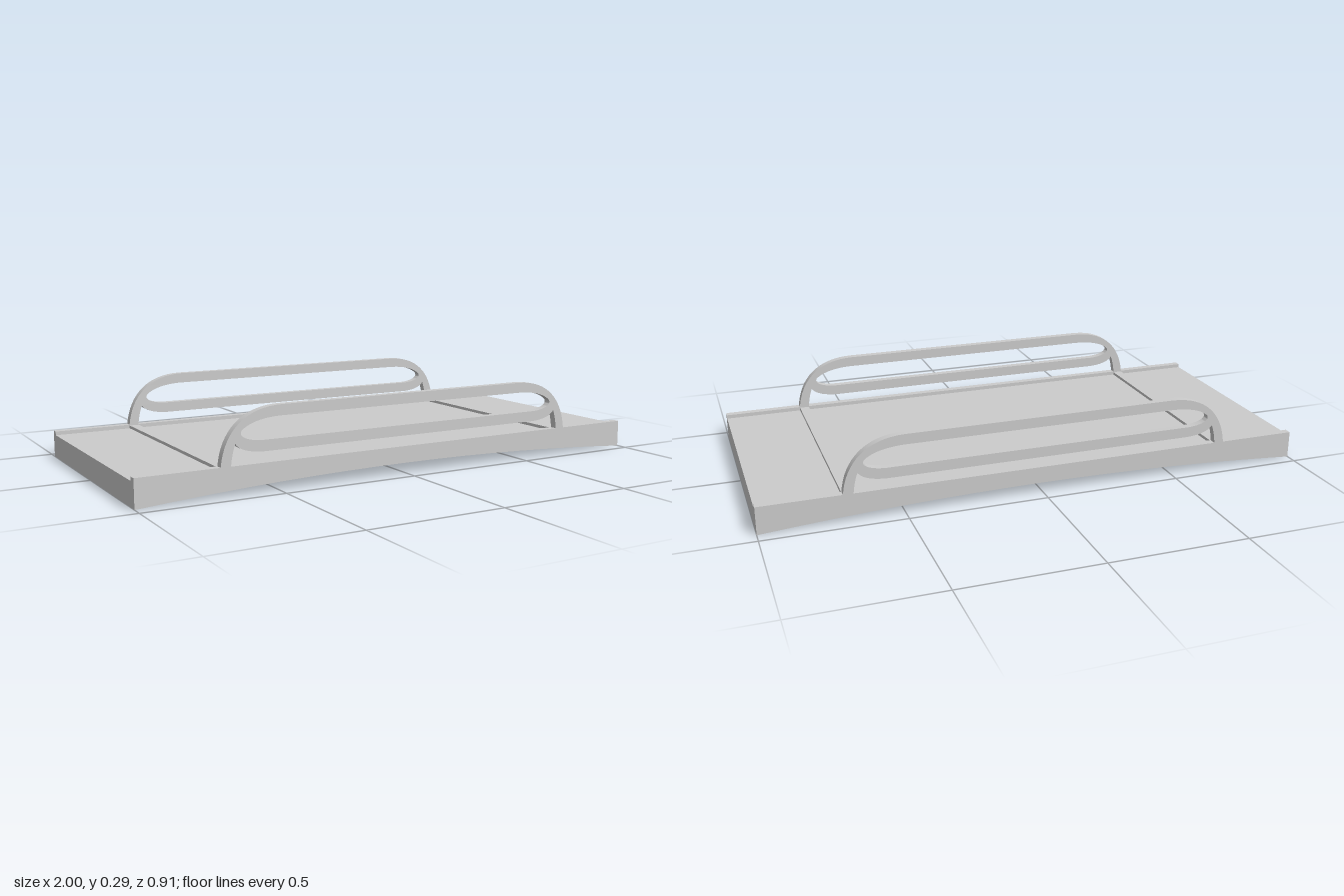
import * as THREE from 'three';
import { toCreasedNormals } from 'three/addons/utils/BufferGeometryUtils.js';

const L = 1, W = 0.456, CURB = 0.027;
const FLOOR = 0.086, TOP = 0.1, ARCH = 0.04;
const material = new THREE.MeshStandardMaterial({ color: 0xcccccc });

// Extrudes a side profile along z, centred on z = 0
function extrude(shape, depth) {
  const geo = new THREE.ExtrudeGeometry(shape, { depth, bevelEnabled: false, curveSegments: 16 });
  geo.translate(0, 0, -depth / 2);
  return toCreasedNormals(geo, 0.6);
}

function add(group, name, geometry, x = 0, y = 0, z = 0) {
  const mesh = new THREE.Mesh(geometry, material);
  mesh.name = name;
  mesh.position.set(x, y, z);
  group.add(mesh);
}

// Flat top, gently arched underside
function deckShape() {
  const s = new THREE.Shape();
  s.moveTo(-L, 0);
  s.quadraticCurveTo(0, 2 * ARCH, L, 0);
  s.lineTo(L, FLOOR);
  s.lineTo(-L, FLOOR);
  s.closePath();
  return s;
}

// Curved handrail with a slot between its upper and lower bars
function railShape() {
  const s = new THREE.Shape();
  s.moveTo(0.712, TOP);
  s.bezierCurveTo(0.7, 0.21, 0.63, 0.288, 0.49, 0.288);
  s.lineTo(-0.49, 0.288);
  s.bezierCurveTo(-0.63, 0.288, -0.7, 0.21, -0.712, TOP);
  s.lineTo(-0.676, TOP);
  s.quadraticCurveTo(-0.672, 0.14, -0.66, 0.172);
  s.bezierCurveTo(-0.645, 0.15, -0.61, 0.14, -0.56, 0.138);
  s.lineTo(0.56, 0.138);
  s.bezierCurveTo(0.61, 0.14, 0.645, 0.15, 0.66, 0.172);
  s.quadraticCurveTo(0.672, 0.14, 0.676, TOP);
  s.closePath();

  const slot = new THREE.Path();
  slot.moveTo(-0.49, 0.251);
  slot.lineTo(0.49, 0.251);
  slot.bezierCurveTo(0.56, 0.251, 0.615, 0.236, 0.638, 0.212);
  slot.bezierCurveTo(0.65, 0.192, 0.61, 0.177, 0.56, 0.176);
  slot.lineTo(-0.56, 0.176);
  slot.bezierCurveTo(-0.61, 0.177, -0.65, 0.192, -0.638, 0.212);
  slot.bezierCurveTo(-0.615, 0.236, -0.56, 0.251, -0.49, 0.251);
  s.holes.push(slot);
  return s;
}

export function createModel() {
  const model = new THREE.Group();
  model.name = 'footbridge';

  add(model, 'deck', extrude(deckShape(), 2 * W));

  const rail = extrude(railShape(), CURB);
  const curb = new THREE.BoxGeometry(2 * L, TOP - FLOOR, CURB);
  const rib = new THREE.BoxGeometry(0.036, 0.011, 2 * (W - CURB));
  for (const side of [1, -1]) {
    const label = side > 0 ? 'front' : 'back';
    const z = side * (W - CURB / 2);
    add(model, label + 'Curb', curb, 0, (TOP + FLOOR) / 2, z);
    add(model, label + 'Handrail', rail, 0, 0, z);
    // Raised strip across the deck between the rail feet
    add(model, side > 0 ? 'leftCrossStrip' : 'rightCrossStrip', rib, side * 0.694, FLOOR + 0.0055, 0);
  }
  return model;
}
